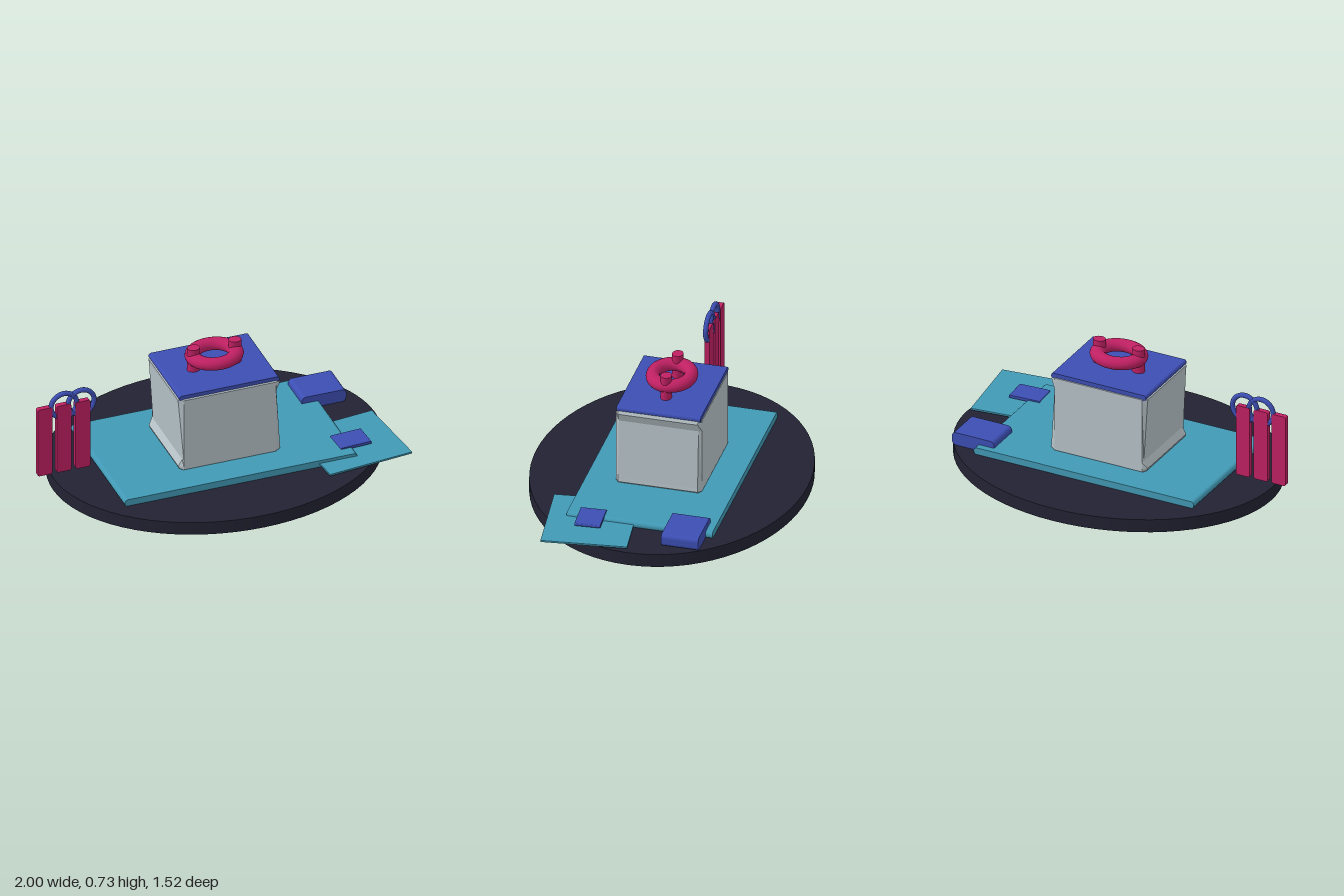
import * as THREE from 'three';

const mat = (name, color, extra = {}) => {
  const m = new THREE.MeshStandardMaterial({ color, ...extra });
  m.name = name;
  return m;
};

export function createModel() {
  const dark = mat('dark navy', 0x222233);
  const teal = mat('teal', 0x4199b5);
  const grey = mat('pale grey', 0xb6c2c7);
  const blue = mat('indigo', 0x3c4eb3);
  const pink = mat('magenta', 0xbf2062);
  const group = new THREE.Group();

  const add = (name, geometry, material, x, y, z) => {
    const mesh = new THREE.Mesh(geometry, material);
    mesh.name = name;
    mesh.position.set(x, y, z);
    group.add(mesh);
    return mesh;
  };

  // Block with a rounded front outline, straight along z
  const block = (w, h, d, r) => {
    const s = new THREE.Shape();
    const a = w / 2, b = h / 2;
    s.moveTo(-a + r, -b);
    s.lineTo(a - r, -b);
    s.absarc(a - r, -b + r, r, -Math.PI / 2, 0);
    s.absarc(a - r, b - r, r, 0, Math.PI / 2);
    s.absarc(-a + r, b - r, r, Math.PI / 2, Math.PI);
    s.absarc(-a + r, -b + r, r, Math.PI, Math.PI * 1.5);
    return new THREE.ExtrudeGeometry(s, { depth: d, bevelEnabled: false, curveSegments: 5 })
      .translate(0, 0, -d / 2);
  };

  // Oval base and main slab
  const base = add('base', new THREE.CylinderGeometry(1, 1, 0.077, 72), dark, 0.03, 0.0385, 0);
  base.scale.set(0.935, 1, 0.762);
  add('slab', block(1.35, 0.042, 0.82, 0.02), teal, 0.03, 0.096, 0);

  // Warped body, lofted from four outlines along z
  const outer = [
    [-0.24, 0.113], [0.31, 0.113], [0.328, 0.128], [0.326, 0.15], [0.306, 0.5], [0.326, 0.55],
    [0.318, 0.57], [0.30, 0.575], [-0.25, 0.575], [-0.266, 0.565], [-0.263, 0.54],
    [-0.241, 0.18], [-0.264, 0.14], [-0.258, 0.125],
  ];
  const inner = outer.map(([x, y]) => [
    THREE.MathUtils.clamp(x, -0.238, 0.298), THREE.MathUtils.clamp(y, 0.122, 0.565)]);
  const rings = [[inner, -0.242], [outer, -0.224], [outer, 0.224], [inner, 0.242]];
  const pos = [];
  const put = (k, i) => {
    const p = rings[k][0][i % outer.length];
    pos.push(p[0], p[1], rings[k][1]);
  };
  for (let k = 0; k < 3; k++) {
    for (let i = 0; i < outer.length; i++) {
      put(k, i); put(k, i + 1); put(k + 1, i + 1);
      put(k, i); put(k + 1, i + 1); put(k + 1, i);
    }
  }
  const bodyGeo = new THREE.BufferGeometry();
  bodyGeo.setAttribute('position', new THREE.Float32BufferAttribute(pos, 3));
  bodyGeo.computeVertexNormals();
  add('body', bodyGeo, grey, 0, 0, 0);
  for (const side of [1, -1]) {
    const panel = new THREE.PlaneGeometry(0.536, 0.443);
    if (side < 0) panel.rotateY(Math.PI);
    add(side > 0 ? 'frontPanel' : 'backPanel', panel, grey, 0.03, 0.3435, side * 0.242);
  }

  // Lid with ring handle and two posts
  add('lid', block(0.58, 0.032, 0.472, 0.014), blue, 0.03, 0.576, -0.002);
  const ring = add('handleRing',
    new THREE.TorusGeometry(0.12, 0.044, 16, 48).rotateX(Math.PI / 2), pink, 0.03, 0.665, 0);
  ring.scale.set(1, 0.82, 0.86);
  for (const s of [-1, 1]) {
    const post = add('handlePost', new THREE.CylinderGeometry(0.036, 0.036, 0.142, 24),
      pink, 0.03 + s * 0.12, 0.66, 0);
    post.scale.z = 0.85;
  }

  // Three upright bars joined by two loops
  for (let i = 0; i < 3; i++) {
    add('uprightBar', block(0.085, 0.425, 0.03, 0.012), pink, -0.957 + i * 0.11, 0.328, 0);
  }
  for (const x of [-0.842, -0.742]) {
    add('loop', new THREE.TorusGeometry(0.075, 0.014, 10, 40), blue, x, 0.53, 0);
  }

  // Corner block, tilted sheet and its small cover
  add('cornerBlock', block(0.258, 0.075, 0.208, 0.024), blue, 0.73, 0.117, -0.267);
  add('sheet', new THREE.BoxGeometry(0.5, 0.01, 0.475), teal, 0.722, 0.094, 0.27).rotation.y = 0.115;
  add('smallCover', block(0.182, 0.016, 0.142, 0.006), blue, 0.722, 0.117, 0.27).rotation.y = 0.06;

  return group;
}
